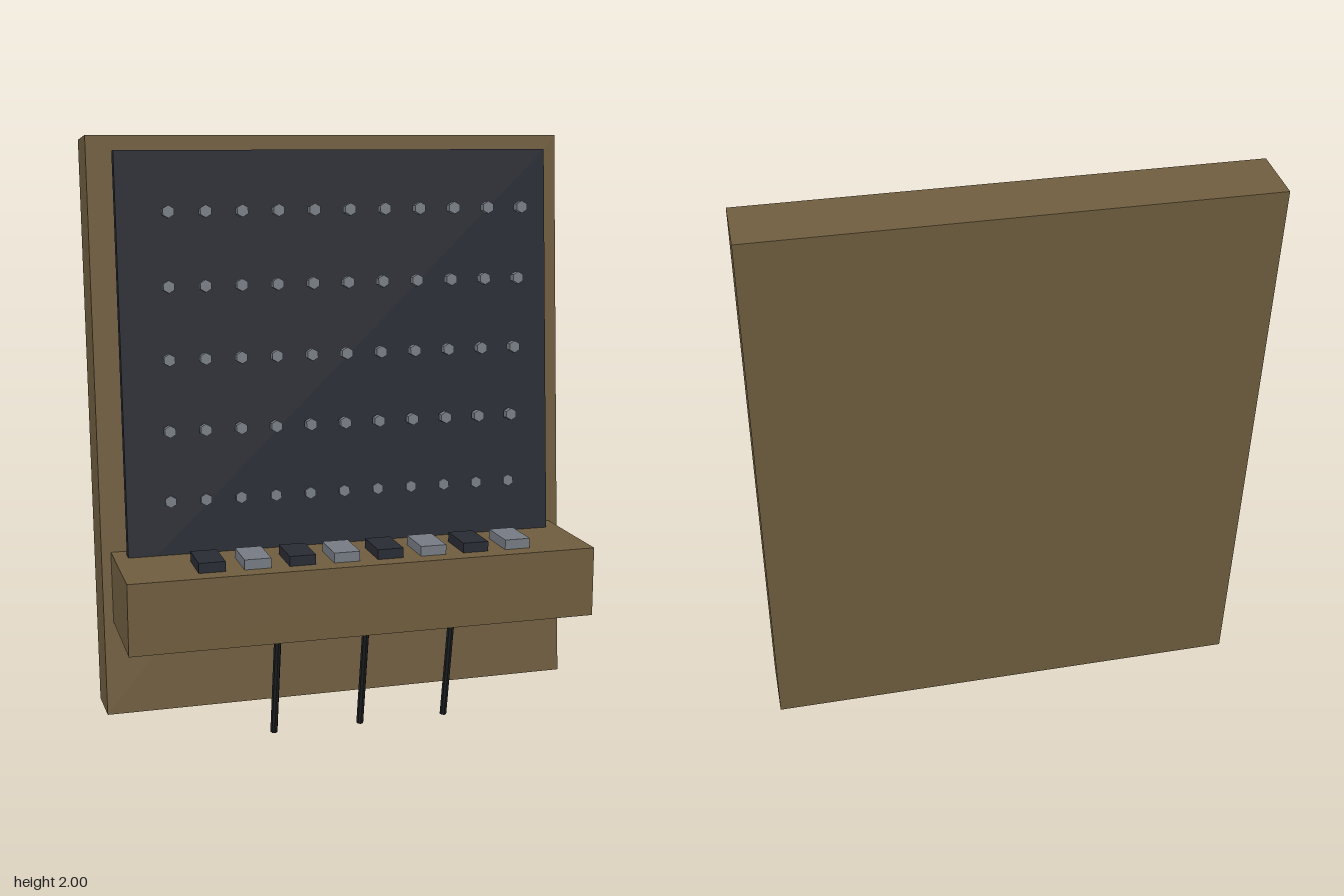
import * as THREE from 'three';

const TILT = -0.08; // backward lean of the board

const material = (color) => new THREE.MeshStandardMaterial({ color, flatShading: true });

export function createModel() {
  const model = new THREE.Group();
  model.name = 'controlBoard';
  const wood = material(0x6e5c3e);
  const dark = material(0x282b33);
  const grey = material(0x757a82);
  const black = material(0x1b1d20);

  const add = (name, geometry, mat, x, y, z, tilt = 0) => {
    const mesh = new THREE.Mesh(geometry, mat);
    mesh.name = name;
    mesh.position.set(x, y, z);
    mesh.rotation.x = tilt;
    model.add(mesh);
    return mesh;
  };

  // Leaning back board and the dark panel held in front of it
  add('backBoard', new THREE.BoxGeometry(1.68, 1.974, 0.212), wood, 0, 1.006, -0.174, TILT);
  add('panel', new THREE.BoxGeometry(1.52, 1.45, 0.04), dark, 0, 1.225, -0.016, TILT);

  // Shelf
  add('shelf', new THREE.BoxGeometry(1.615, 0.242, 0.42), wood, 0, 0.476, 0.15);

  // Grid of hexagonal pegs, following the lean
  const pegGeometry = new THREE.CylinderGeometry(0.021, 0.021, 0.03, 6);
  pegGeometry.rotateX(Math.PI / 2);
  for (let row = 0; row < 5; row++) {
    for (let col = 0; col < 11; col++) {
      add('peg', pegGeometry, grey, (col - 5) * 0.122, 1.755 - row * 0.244, 0.105 - row * 0.018, TILT);
    }
  }

  // Alternating dark and light keys on the shelf
  const keyGeometry = new THREE.BoxGeometry(0.09, 0.05, 0.154);
  for (let i = 0; i < 8; i++) {
    add('key', keyGeometry, i % 2 ? grey : dark, -0.52 + i * 0.1525, 0.606, 0.222);
  }

  // Thin slanted rods under the shelf
  const rodGeometry = new THREE.CylinderGeometry(0.0125, 0.0125, 0.42, 8);
  for (const x of [-0.305, 0, 0.305]) {
    add('rod', rodGeometry, black, x, 0.208, 0.279, 0.19);
  }

  return model;
}
